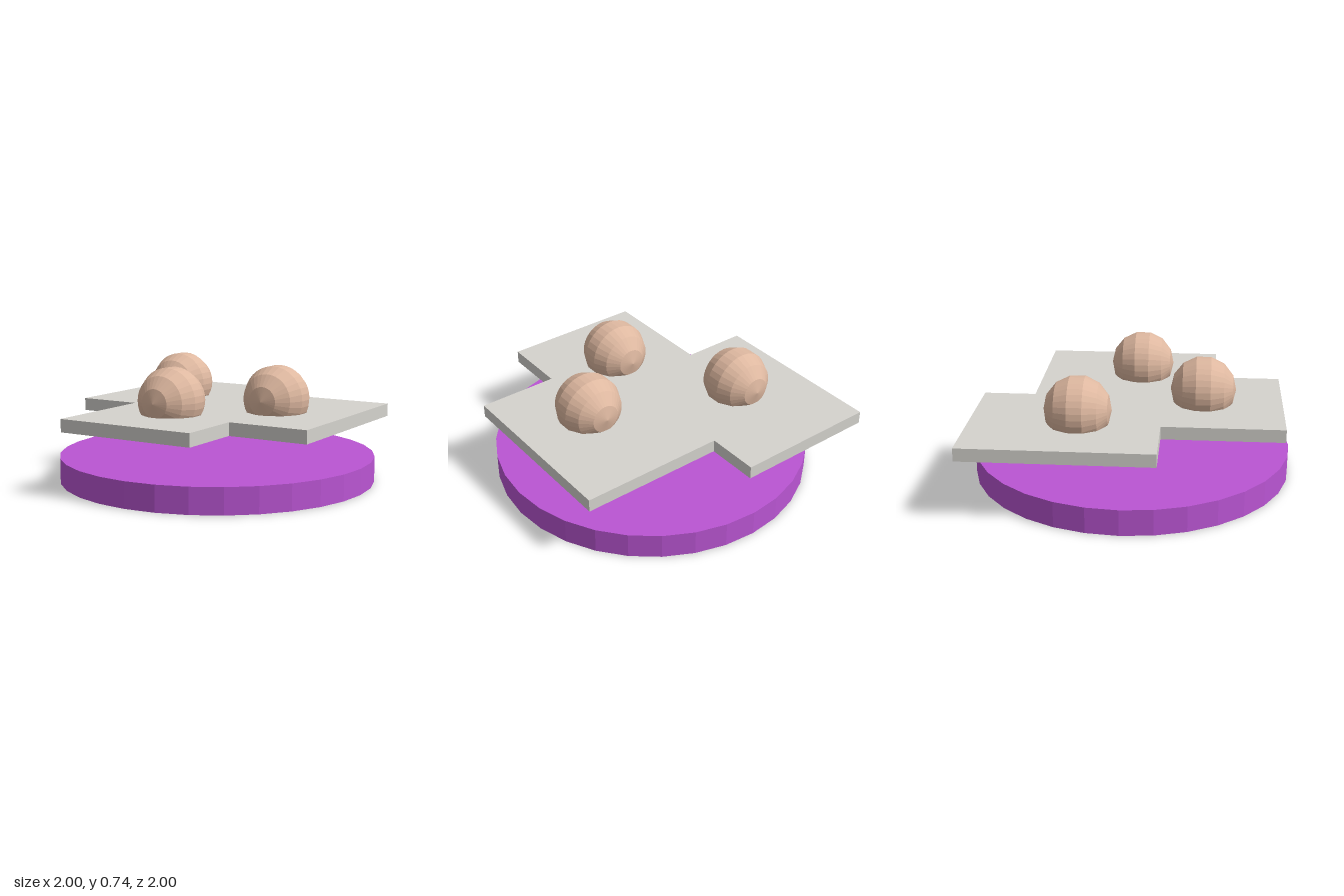
import * as THREE from 'three';

const flat = (name, color) => {
  const m = new THREE.MeshStandardMaterial({ color, flatShading: true });
  m.name = name;
  return m;
};

export function createModel() {
  const model = new THREE.Group();
  const purple = flat('purple', 0xba55d3);
  const grey = flat('light grey', 0xd5d3ce);
  const tan = flat('tan', 0xdeb8a0);

  const add = (name, geometry, material, x, y, z) => {
    const mesh = new THREE.Mesh(geometry, material);
    mesh.name = name;
    mesh.position.set(x, y, z);
    model.add(mesh);
    return mesh;
  };

  // Round base
  add('base', new THREE.CylinderGeometry(1, 1, 0.16, 32), purple, 0, 0.08, 0);

  // Floating slab: three staggered rectangles merged into one outline (x, z)
  const outline = [
    [-0.905, -0.945], [0, -0.945], [0, -0.62], [0.905, -0.62], [0.905, 0.53],
    [0.405, 0.53], [0.405, 0.945], [-0.495, 0.945], [-0.495, 0.205], [-0.905, 0.205],
  ];
  const shape = new THREE.Shape(outline.map(([x, z]) => new THREE.Vector2(x, -z)));
  const slab = new THREE.ExtrudeGeometry(shape, { depth: 0.08, bevelEnabled: false });
  slab.rotateX(-Math.PI / 2);
  add('slab', slab, grey, 0, 0.383, 0);

  // Faceted balls sunk through the slab, poles along z
  const ball = new THREE.SphereGeometry(0.204, 32, 7);
  ball.rotateX(Math.PI / 2);
  [[-0.455, -0.29], [0.45, 0.04], [-0.045, 0.45]].forEach(([x, z], i) => {
    add('ball' + (i + 1), ball, tan, x, 0.546, z);
  });

  return model;
}
